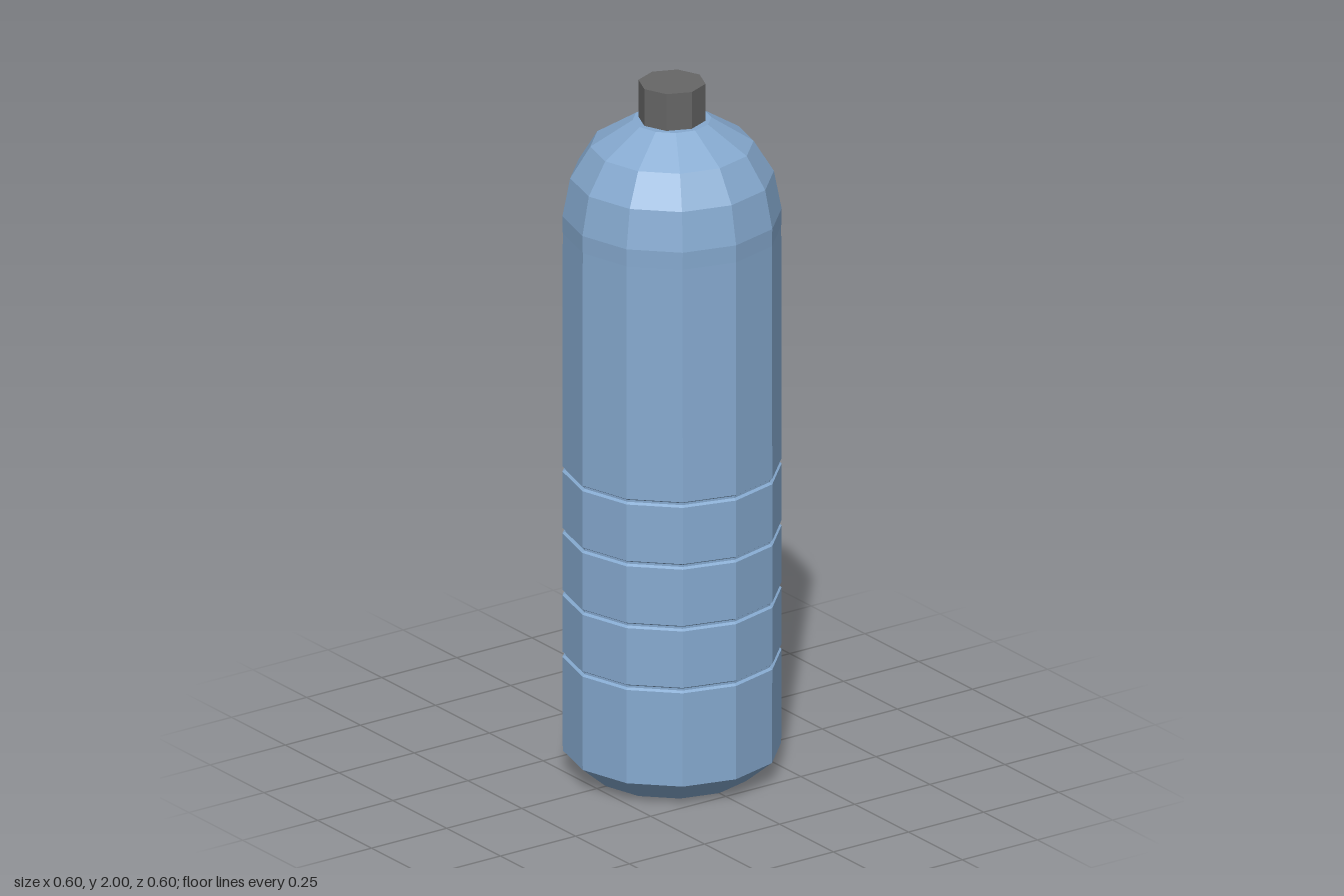
import * as THREE from 'three';

export function createModel() {
  const group = new THREE.Group();
  const blue = new THREE.MeshStandardMaterial({ color: 0x86aad0, flatShading: true });
  const grey = new THREE.MeshStandardMaterial({ color: 0x666666, flatShading: true });

  // Half profile of the body, from the base centre up to the neck
  const profile = [[0, 0], [0.22, 0], [0.297, 0.065]];

  // Four shallow grip grooves
  for (let i = 0; i < 4; i++) {
    const y = 0.345 + i * 0.18;
    profile.push([0.298, y - 0.008], [0.29, y - 0.003], [0.29, y + 0.003], [0.298, y + 0.008]);
  }

  // Straight wall, rounded shoulder and closed top
  profile.push([0.297, 1.57], [0.298, 1.62], [0.277, 1.73], [0.222, 1.82], [0.107, 1.893], [0, 1.893]);

  const body = new THREE.Mesh(
    new THREE.LatheGeometry(profile.map(([r, y]) => new THREE.Vector2(r, y)), 12), blue);
  body.name = 'bottleBody';
  group.add(body);

  // Octagonal screw cap
  const cap = new THREE.Mesh(new THREE.CylinderGeometry(0.092, 0.092, 0.11, 8), grey);
  cap.name = 'cap';
  cap.position.y = 1.945;
  group.add(cap);

  return group;
}
